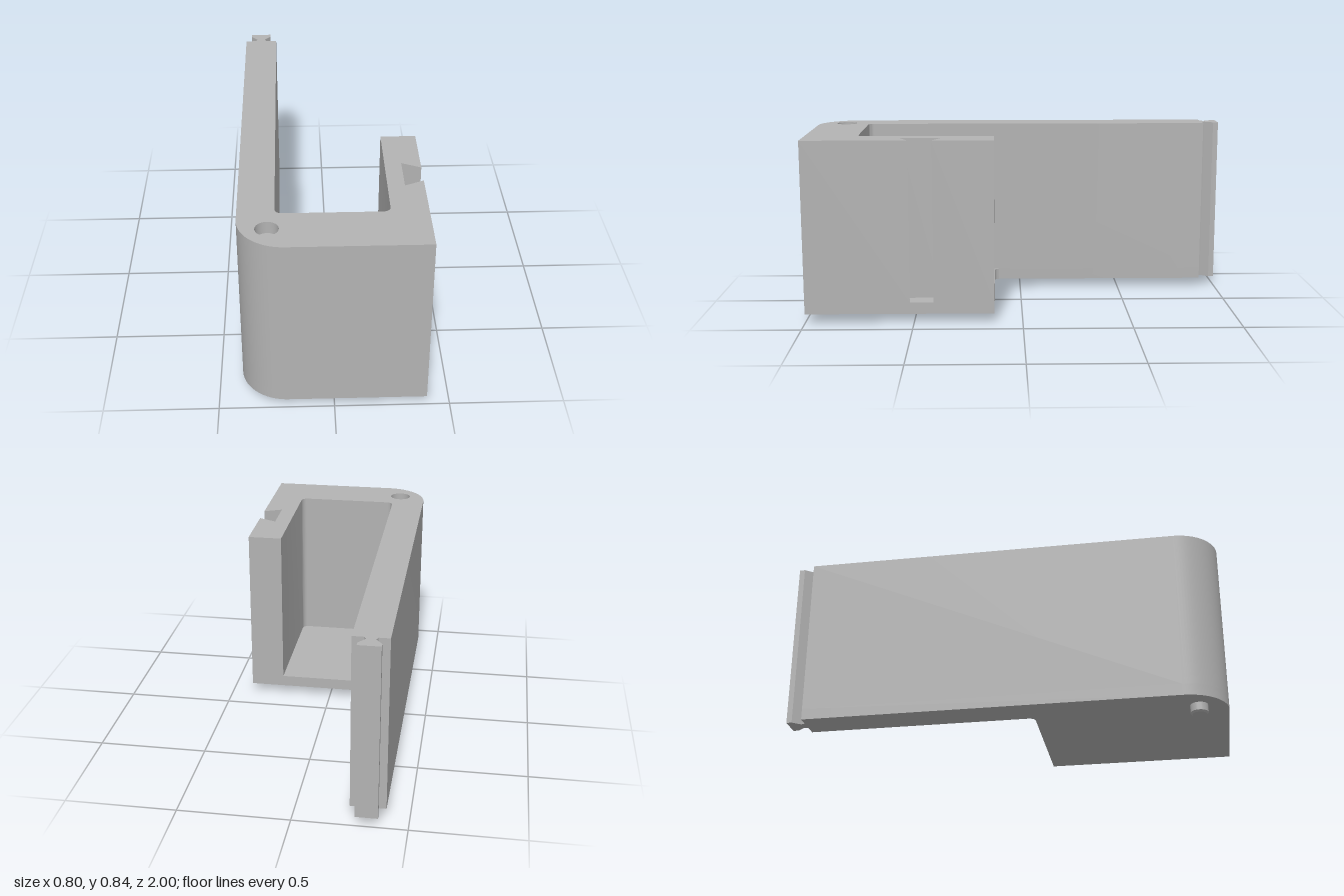
import * as THREE from 'three';
import { toCreasedNormals } from 'three/addons/utils/BufferGeometryUtils.js';

const BOTTOM = 0.044, FLOOR = 0.097, TOP = 0.844;
const PIN = { x: -0.273, z: 0.867 };

export function createModel() {
  const group = new THREE.Group();
  const grey = new THREE.MeshStandardMaterial({ color: 0xb3b3b3 });
  grey.name = 'grey plastic';

  const add = (name, geometry) => {
    const mesh = new THREE.Mesh(toCreasedNormals(geometry, 0.5), grey);
    mesh.name = name;
    group.add(mesh);
    return mesh;
  };
  // plan shapes are drawn with y = -z, then stood up between two heights
  const extrude = (shape, y0, y1) => new THREE.ExtrudeGeometry(shape, {
    depth: y1 - y0, bevelEnabled: false, curveSegments: 12,
  }).rotateX(-Math.PI / 2).translate(0, y0, 0);

  // shared outer edge: back of the long wall, round the front corner, to the back of the short wall
  const outline = () => {
    const s = new THREE.Shape();
    s.moveTo(-0.242, 0.92);
    // dovetail tongue on the end of the long wall
    for (const [x, z] of [[-0.294, -0.92], [-0.302, -0.938], [-0.273, -0.975], [-0.273, -1],
      [-0.372, -1], [-0.372, -0.975], [-0.343, -0.938], [-0.351, -0.92], [-0.4, -0.92], [-0.4, 0.8]]) s.lineTo(x, -z);
    s.absarc(-0.2, -0.8, 0.2, Math.PI, Math.PI * 1.5, false);
    s.lineTo(0.4, -1);
    return s;
  };

  // floor with a small fillet where it meets the long wall
  const floor = outline();
  floor.lineTo(0.4, -0.13);
  floor.lineTo(-0.212, -0.13);
  floor.absarc(-0.212, -0.1, 0.03, Math.PI * 1.5, Math.PI, true);
  floor.closePath();
  add('floor', extrude(floor, BOTTOM, FLOOR));

  // walls around the open-backed cavity, with the dovetail slot and pin socket
  const walls = outline();
  for (const [x, z] of [[0.4, 0.518], [0.315, 0.556], [0.315, 0.37], [0.4, 0.41],
    [0.4, 0.13], [0.24, 0.13], [0.24, 0.725]]) walls.lineTo(x, -z);
  walls.absarc(0.21, -0.725, 0.03, 0, -Math.PI / 2, true);
  walls.lineTo(-0.212, -0.755);
  walls.absarc(-0.212, -0.725, 0.03, Math.PI * 1.5, Math.PI, true);
  walls.closePath();
  const socket = new THREE.Path();
  socket.absarc(PIN.x, -PIN.z, 0.05, 0, Math.PI * 2, true);
  walls.holes.push(socket);
  add('walls', extrude(walls, FLOOR, TOP));

  // bottom of the blind socket
  add('socketBottom', new THREE.CircleGeometry(0.05, 24).rotateX(-Math.PI / 2))
    .position.set(PIN.x, TOP - 0.055, PIN.z);

  // chamfered locating pin underneath
  const profile = [[0, 0], [0.033, 0], [0.04, 0.008], [0.04, BOTTOM]]
    .map(([r, y]) => new THREE.Vector2(r, y));
  add('locatingPin', new THREE.LatheGeometry(profile, 32)).position.set(PIN.x, 0, PIN.z);

  return group;
}
